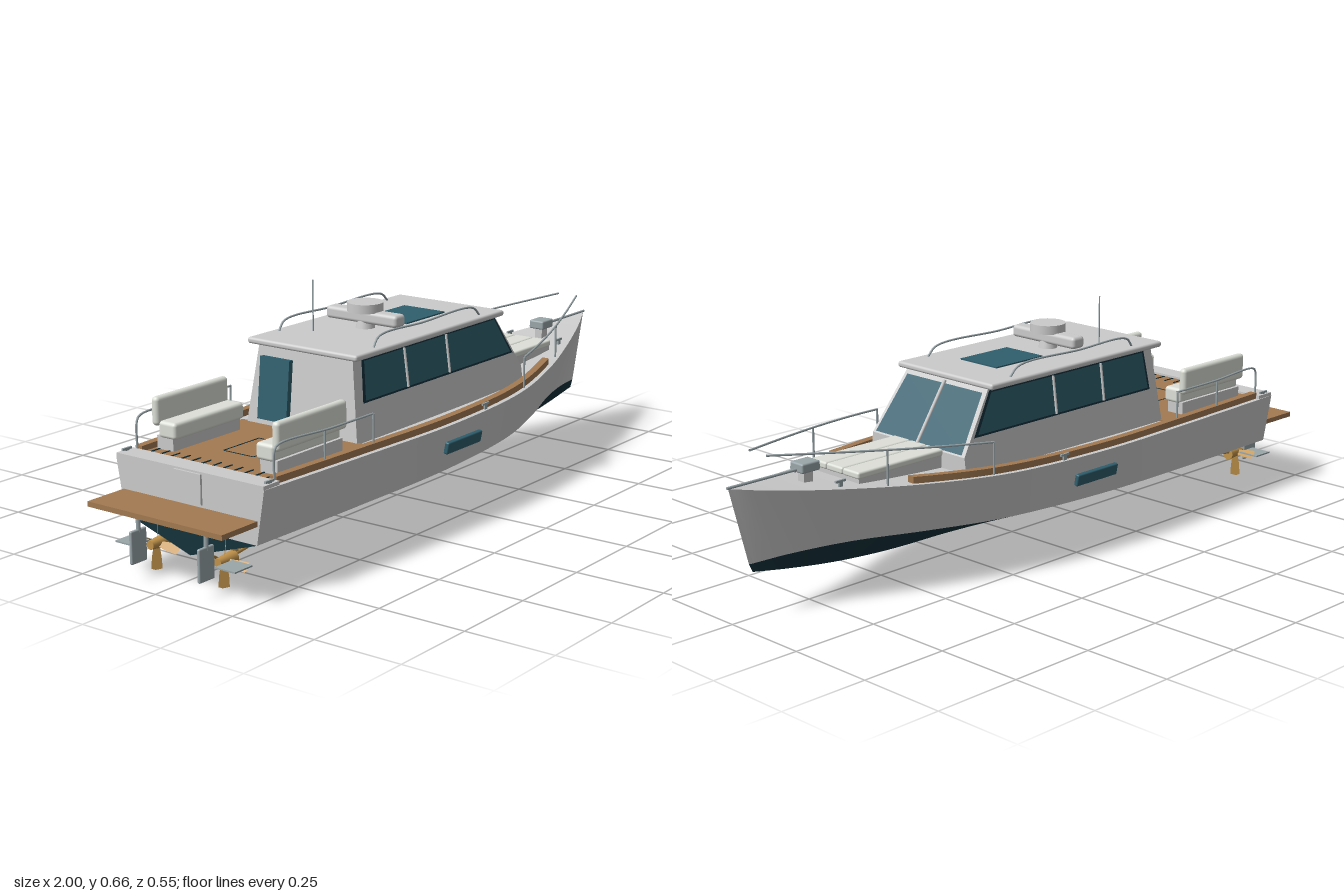
import * as THREE from 'three';
import { RoundedBoxGeometry } from 'three/addons/geometries/RoundedBoxGeometry.js';

const mat = (color) => new THREE.MeshStandardMaterial({ color, side: THREE.DoubleSide });
const V = (x, y, z) => new THREE.Vector3(x, y, z);

export function createModel() {
  const boat = new THREE.Group();
  const grey = mat(0xcccccc), dark = mat(0x14323c), glass = mat(0x2f5f6e), teak = mat(0xa37a52);
  const brass = mat(0xc0924a), cushion = mat(0xdde0d8), steel = mat(0x9aa6aa);

  const add = (name, geo, material, x = 0, y = 0, z = 0) => {
    const m = new THREE.Mesh(geo, material);
    m.name = name;
    m.position.set(x, y, z);
    boat.add(m);
    return m;
  };
  // Box given by its limits; r rounds the edges
  const box = (name, material, [x0, x1], [y0, y1], [z0, z1], r = 0) => {
    const s = [x1 - x0, y1 - y0, z1 - z0];
    const geo = r ? new RoundedBoxGeometry(...s, 3, r) : new THREE.BoxGeometry(...s);
    return add(name, geo, material, (x0 + x1) / 2, (y0 + y1) / 2, (z0 + z1) / 2);
  };
  const rod = (name, a, b, r = 0.003, material = steel) => {
    const d = b.clone().sub(a);
    const m = add(name, new THREE.CylinderGeometry(r, r, d.length(), 8), material);
    m.position.copy(a).addScaledVector(d, 0.5);
    m.quaternion.setFromUnitVectors(V(0, 1, 0), d.normalize());
    return m;
  };
  const pipe = (name, pts, r = 0.003, material = steel) =>
    add(name, new THREE.TubeGeometry(new THREE.CatmullRomCurve3(pts, false, 'centripetal'), 40, r, 8), material);
  // Surface between two rows of points
  const loft = (name, a, b, material) => {
    const pos = [], idx = [];
    a.forEach((p, i) => {
      pos.push(...p.toArray(), ...b[i].toArray());
      if (i) idx.push(2 * i - 2, 2 * i - 1, 2 * i, 2 * i, 2 * i - 1, 2 * i + 1);
    });
    const g = new THREE.BufferGeometry();
    g.setAttribute('position', new THREE.Float32BufferAttribute(pos, 3));
    g.setIndex(idx);
    g.computeVertexNormals();
    return add(name, g, material);
  };
  const shape = (pts) => new THREE.Shape(pts.map(([x, y]) => new THREE.Vector2(x, y)));
  const mirror = (p) => V(p.x, p.y, -p.z);

  // Hull lines from stern to stem
  const sheerPts = [V(-0.87, 0.28, 0.245), V(-0.5, 0.28, 0.262), V(-0.1, 0.281, 0.275), V(0.25, 0.286, 0.25),
    V(0.5, 0.299, 0.19), V(0.72, 0.318, 0.115), V(0.9, 0.34, 0.045), V(0.995, 0.356, 0.002)];
  const chinePts = [V(-0.87, 0.135, 0.22), V(-0.5, 0.139, 0.235), V(-0.1, 0.145, 0.243), V(0.25, 0.15, 0.21),
    V(0.47, 0.155, 0.15), V(0.67, 0.158, 0.078), V(0.83, 0.152, 0.027), V(0.94, 0.145, 0.001)];
  const keelPts = [V(-0.87, 0.065, 0), V(-0.5, 0.062, 0), V(-0.1, 0.06, 0), V(0.25, 0.061, 0),
    V(0.47, 0.065, 0), V(0.66, 0.08, 0), V(0.81, 0.101, 0), V(0.93, 0.122, 0)];
  const sample = (pts) => {
    const c = new THREE.CatmullRomCurve3(pts, false, 'centripetal');
    return Array.from({ length: 57 }, (_, i) => c.getPoint(i / 56));
  };
  const [sheer, chine, keel] = [sheerPts, chinePts, keelPts].map(sample);
  const sheerAt = (x) => {
    const i = Math.max(1, sheer.findIndex((p) => p.x >= x));
    return sheer[i - 1].clone().lerp(sheer[i], (x - sheer[i - 1].x) / (sheer[i].x - sheer[i - 1].x));
  };
  loft('topsidesLeft', chine, sheer, grey);
  loft('topsidesRight', sheer.map(mirror), chine.map(mirror), grey);
  loft('bottomLeft', keel, chine, dark);
  loft('bottomRight', chine.map(mirror), keel, dark);
  loft('deck', sheer, sheer.map(mirror), grey);
  const [s0, c0, k0] = [sheer[0], chine[0], keel[0]];
  loft('transom', [c0, mirror(c0)], [s0, mirror(s0)], grey);
  loft('transomBottom', [c0, mirror(c0)], [k0, k0], dark);
  box('transomDoor', grey, [-0.876, -0.86], [0.205, 0.285], [-0.045, 0.045]);
  box('transomCap', grey, [-0.87, -0.81], [0.278, 0.29], [-0.244, 0.244]);

  // Cockpit floor, grating and hatch
  box('cockpitFloor', teak, [-0.81, -0.42], [0.275, 0.284], [-0.21, 0.21]);
  for (let i = 0; i < 12; i++) {
    const z = -0.192 + i * 0.035;
    box('gratingSlat', dark, [-0.805, -0.765], [0.28, 0.286], [z - 0.002, z + 0.002]);
  }
  for (const s of [-1, 1]) {
    box('floorHatchSeam', dark, [-0.68, -0.54], [0.28, 0.2855], [s * 0.05 - 0.001, s * 0.05 + 0.001]);
    box('floorHatchSeam', dark, [-0.61 + s * 0.07 - 0.001, -0.61 + s * 0.07 + 0.001], [0.28, 0.2855], [-0.05, 0.05]);
  }
  box('helmSeat', cushion, [-0.52, -0.435], [0.284, 0.355], [0.065, 0.14], 0.008);

  // Swim platform
  box('swimPlatform', teak, [-1, -0.865], [0.184, 0.198], [-0.222, 0.222]);

  // Cabin: side profile leaning inwards as it rises
  const half = (y) => 0.187 - 0.03 * (y - 0.28) / 0.22;
  const cabin = new THREE.ExtrudeGeometry(
    shape([[-0.428, 0.275], [0.36, 0.275], [0.36, 0.335], [0.245, 0.505], [-0.405, 0.505]]),
    { depth: 2, bevelEnabled: false });
  const cp = cabin.attributes.position;
  for (let i = 0; i < cp.count; i++) cp.setZ(i, (cp.getZ(i) - 1) * half(cp.getY(i)));
  cabin.computeVertexNormals();
  add('cabin', cabin, grey);
  const sidePanel = (name, pts, material, s, off) => {
    const g = new THREE.ShapeGeometry(shape(pts));
    const p = g.attributes.position;
    for (let i = 0; i < p.count; i++) p.setZ(i, s * (half(p.getY(i)) + off));
    g.computeVertexNormals();
    add(name, g, material);
  };
  const front = (y, z, off = 0.003) => V(0.36 - (y - 0.335) * 0.676 + off, y, z);
  loft('windshield', [front(0.34, 0.168), front(0.34, -0.168)], [front(0.487, 0.146), front(0.487, -0.146)], glass);
  rod('windshieldPost', front(0.335, 0, 0.006), front(0.495, 0, 0.006), 0.005, grey);
  box('cabinDoor', glass, [-0.432, -0.41], [0.3, 0.47], [-0.14, -0.04]).rotation.z = -0.1;

  // Roof with hatch, radar and antenna
  box('roof', grey, [-0.425, 0.262], [0.499, 0.516], [-0.184, 0.184], 0.007);
  box('roofHatch', glass, [-0.05, 0.13], [0.51, 0.52], [-0.07, 0.07]);
  add('radarPedestal', new THREE.CylinderGeometry(0.022, 0.028, 0.03, 24), grey, -0.145, 0.525);
  box('radarBar', grey, [-0.168, -0.122], [0.531, 0.565], [-0.12, 0.12], 0.01);
  add('radarDome', new THREE.CylinderGeometry(0.05, 0.05, 0.025, 32), grey, -0.145, 0.575);
  rod('antenna', V(-0.265, 0.515, -0.086), V(-0.265, 0.657, -0.086), 0.002);

  // Foredeck sun pads, windlass and bow roller
  box('sunPadBase', grey, [0.35, 0.65], [0.285, 0.326], [-0.092, 0.092]);
  for (const z of [-0.064, 0, 0.064]) box('sunPad', cushion, [0.355, 0.655], [0.323, 0.342], [z - 0.0315, z + 0.0315], 0.006);
  box('windlass', steel, [0.72, 0.78], [0.35, 0.376], [-0.025, 0.025], 0.005);
  box('windlassBase', grey, [0.735, 0.765], [0.315, 0.352], [-0.012, 0.012]);
  rod('anchorShank', V(0.78, 0.358, 0), V(1, 0.358, 0), 0.004);

  for (const s of [-1, 1]) {
    const at = (x, y, inset) => V(x, y, s * (sheerAt(x).z - inset));
    // Side windows with dark surround
    sidePanel('windowFrame', [[-0.385, 0.38], [0.32, 0.38], [0.248, 0.494], [-0.372, 0.494]], dark, s, 0.002);
    for (const pts of [[[-0.375, 0.386], [-0.193, 0.386], [-0.193, 0.489], [-0.364, 0.489]],
      [[-0.183, 0.386], [0.0, 0.386], [0.0, 0.489], [-0.183, 0.489]],
      [[0.01, 0.386], [0.306, 0.386], [0.243, 0.489], [0.01, 0.489]]]) sidePanel('sideWindow', pts, glass, s, 0.004);
    for (const x of [-0.188, 0.005]) rod('windowPost', V(x, 0.385, s * (half(0.385) + 0.004)), V(x, 0.49, s * (half(0.49) + 0.004)), 0.004, grey);

    // Hull portlight
    box('portlight', glass, [-0.14, 0.022], [0.2, 0.234], [s * 0.267 - 0.007, s * 0.267 + 0.007], 0.004).rotation.x = s * 0.2;

    // Teak rail along the side deck
    const xs = Array.from({ length: 28 }, (_, i) => -0.81 + i * 1.34 / 27);
    const row = (inset, h) => xs.map((x) => at(x, sheerAt(x).y + h, inset));
    const rows = [row(0.014, -0.002), row(0.014, 0.018), row(0.036, 0.018), row(0.036, -0.002)];
    rows.forEach((r, i) => loft('teakRail', r, rows[(i + 1) % 4], teak));
    for (const i of [0, xs.length - 1]) loft('teakRailEnd', [rows[0][i], rows[3][i]], [rows[1][i], rows[2][i]], teak);

    // Cockpit bench
    const zr = (a, b) => (s > 0 ? [a, b] : [-b, -a]);
    box('benchBase', grey, [-0.765, -0.505], [0.28, 0.32], zr(0.145, 0.2));
    box('benchSeat', cushion, [-0.77, -0.5], [0.315, 0.36], zr(0.133, 0.192), 0.01);
    box('benchBack', cushion, [-0.775, -0.497], [0.345, 0.422], zr(0.188, 0.212), 0.011);

    // Cockpit rail
    pipe('cockpitRail', [at(-0.81, 0.28, 0.02), at(-0.81, 0.36, 0.02), at(-0.8, 0.374, 0.02), at(-0.6, 0.374, 0.02), at(-0.43, 0.374, 0.025)]);
    for (const x of [-0.62, -0.43]) rod('cockpitRailPost', at(x, 0.28, 0.023), at(x, 0.374, 0.023));

    // Bow rail
    const railX = [0.3, 0.4, 0.55, 0.72, 0.9];
    pipe('bowRail', railX.map((x) => at(x, 0.377 + (x - 0.3) * 0.085, 0.012)));
    for (const x of [0.3, 0.6]) rod('bowRailPost', at(x, sheerAt(x).y, 0.012), at(x, 0.377 + (x - 0.3) * 0.085, 0.012));

    // Roof grab rail and deck cleats
    pipe('roofRail', [V(-0.32, 0.515, s * 0.16), V(-0.3, 0.54, s * 0.16), V(-0.1, 0.543, s * 0.16), V(0.14, 0.54, s * 0.16), V(0.17, 0.515, s * 0.16)]);
    for (const x of [0.71, 0.06, -0.84]) {
      const p = at(x, sheerAt(x).y, x > 0.5 ? 0.03 : 0.01);
      box('cleat', steel, [x - 0.016, x + 0.016], [p.y + 0.012, p.y + 0.018], [p.z - 0.003, p.z + 0.003]);
      box('cleatFoot', steel, [x - 0.006, x + 0.006], [p.y - 0.002, p.y + 0.013], [p.z - 0.003, p.z + 0.003]);
    }

    // Propeller, shaft, rudder and trim tab
    const z = s * 0.113;
    rod('propellerShaft', V(-0.89, 0.075, z), V(-0.7, 0.1, z), 0.006, brass);
    const hub = add('propellerHub', new THREE.CylinderGeometry(0.012, 0.018, 0.06, 20), brass, -0.865, 0.075, z);
    hub.rotation.z = Math.PI / 2;
    for (let i = 0; i < 4; i++) {
      const blade = new THREE.ShapeGeometry(shape([[-0.006, 0.01], [0.006, 0.01], [0.011, 0.045], [0.013, 0.07], [0, 0.075], [-0.008, 0.072], [-0.008, 0.04]]), 4);
      const p = blade.attributes.position;
      for (let j = 0; j < p.count; j++) p.setZ(j, p.getX(j) * 0.9);
      blade.computeVertexNormals();
      const b = add('propellerBlade', blade, brass, -0.87, 0.075, z);
      b.rotation.set(Math.PI + 0.1 + i * Math.PI / 2, Math.PI / 2, 0, 'XYZ');
    }
    box('shaftStrut', brass, [-0.84, -0.82], [0.08, 0.13], [z - 0.004, z + 0.004]);
    box('rudder', steel, [-0.966, -0.91], [0.042, 0.13], [z - 0.005, z + 0.005], 0.004);
    rod('rudderStock', V(-0.935, 0.12, z), V(-0.935, 0.19, z), 0.006);
    box('trimTab', steel, [-0.93, -0.865], [0.076, 0.08], zr(0.135, 0.2));
  }
  return boat;
}
